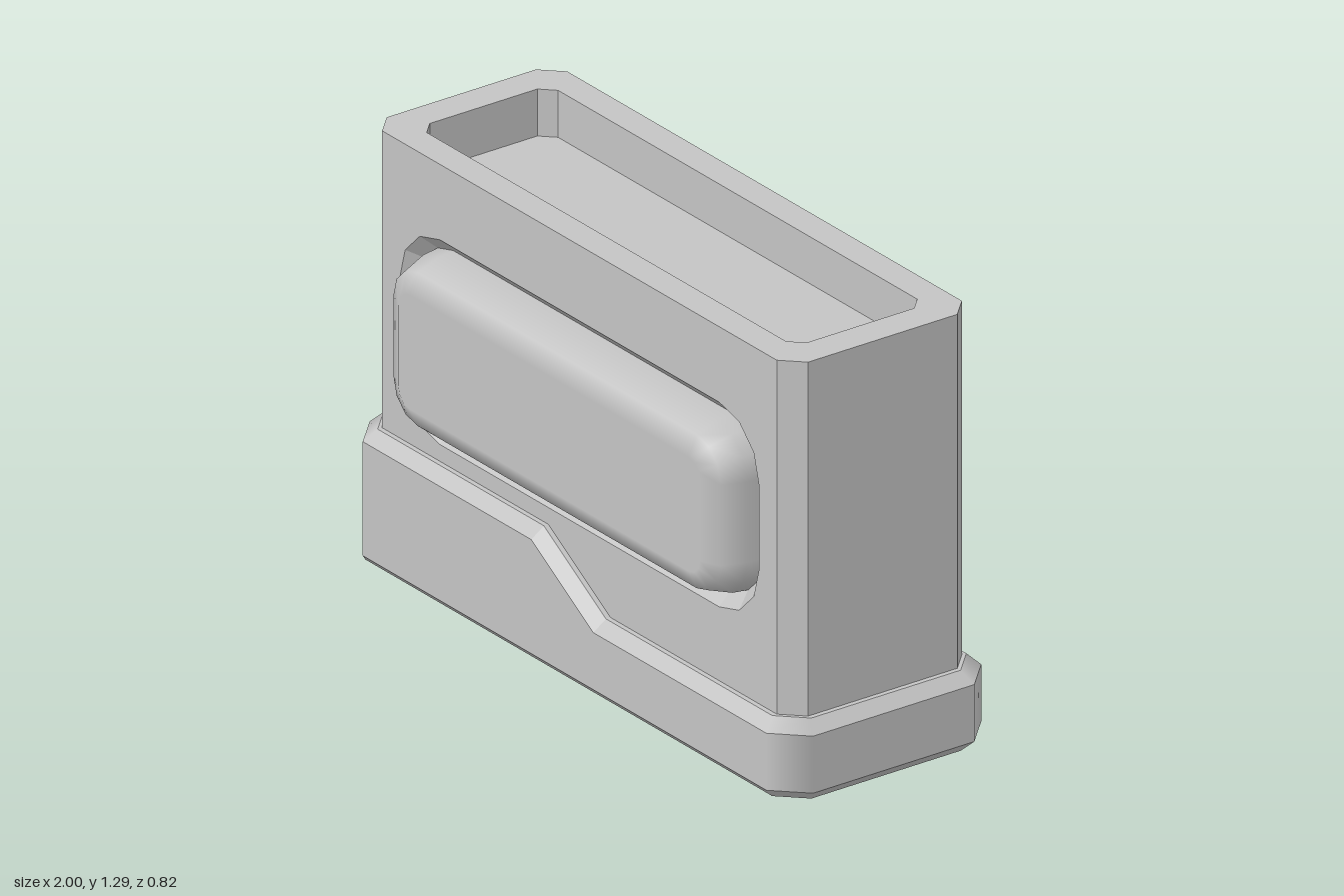
import * as THREE from 'three';

const V = (x, y, z) => new THREE.Vector3(x, y, z);

// Joins two rings of points; flat faces unless normals are given.
// flatRuns keeps segments flat where both ends share one direction.
function band(A, B, { closed = true, NA, NB, flatRuns = false } = {}) {
  const pos = [], nor = [], n = A.length;
  for (let i = 0; i < (closed ? n : n - 1); i++) {
    const j = (i + 1) % n;
    const quad = [[A, NA, i], [A, NA, j], [B, NB, j], [A, NA, i], [B, NB, j], [B, NB, i]];
    const side = A[j].clone().sub(A[i]).add(B[j]).sub(B[i]);
    const up = B[i].clone().sub(A[i]).add(B[j]).sub(A[j]);
    const face = side.cross(up).normalize();
    const smooth = NA && !(flatRuns && NA[i].distanceTo(NA[j]) < 1e-4);
    for (const [ring, normals, k] of quad) {
      pos.push(...ring[k].toArray());
      nor.push(...(smooth ? normals[k] : face).toArray());
    }
  }
  const g = new THREE.BufferGeometry();
  g.setAttribute('position', new THREE.Float32BufferAttribute(pos, 3));
  g.setAttribute('normal', new THREE.Float32BufferAttribute(nor, 3));
  return g;
}

// Octagon seen from above, counterclockwise from the front left end
function octagon(x, z, c, y) {
  return [[-x + c, z], [x - c, z], [x, z - c], [x, -z + c],
    [x - c, -z], [-x + c, -z], [-x, -z + c], [-x, z - c]].map(([a, b]) => V(a, y, b));
}

// Rounded rectangle in the front plane, with outward directions
const MID = 0.765;
function roundRect(hx, hy, r, z, tilt = 0) {
  const points = [], normals = [];
  [[1, 1], [-1, 1], [-1, -1], [1, -1]].forEach(([sx, sy], q) => {
    for (let k = 0; k <= 3; k++) {
      const a = (q + k / 3) * Math.PI / 2, c = Math.cos(a), s = Math.sin(a);
      points.push(V(sx * (hx - r) + r * c, MID + sy * (hy - r) + r * s, z));
      normals.push(V(c * Math.cos(tilt), s * Math.cos(tilt), Math.sin(tilt)));
    }
  });
  return { points, normals };
}

const flat = (pts, fn) => pts.map(p => new THREE.Vector2(...fn(p)));

export function createModel() {
  const model = new THREE.Group();
  const grey = new THREE.MeshStandardMaterial({ color: 0xc4c4c4 });
  const add = (parent, name, geometry) => {
    const mesh = new THREE.Mesh(geometry, grey);
    mesh.name = name;
    parent.add(mesh);
    return mesh;
  };

  // Stepped base: bevelled octagon with a ramp in its upper edge
  const base = new THREE.Group();
  base.name = 'steppedBase';
  model.add(base);
  const HIGH = 0.375, LOW = 0.205, BEVEL = 0.035;
  const baseRing = (x, z, c, step, yAt) => {
    const o = octagon(x, z, c, 0);
    const ring = [o[0], V(-0.15 + step, 0, z), V(0.13 + step, 0, z), o[1], o[2], o[3],
      o[4], V(0.13 + step, 0, -z), V(-0.15 + step, 0, -z), o[5], o[6], o[7]];
    ring.forEach((p, i) => { p.y = yAt(i); });
    return ring;
  };
  const isHigh = i => i < 2 || i > 7;
  const topY = i => (isHigh(i) ? HIGH : LOW);
  const rimY = i => topY(i) + BEVEL;
  const lower = baseRing(1, 0.36, 0.09, 0, i => (i > 9 ? 0 : BEVEL));
  const upper = baseRing(1, 0.36, 0.09, 0, topY);
  const rim = baseRing(0.965, 0.325, 0.075, 0.01, rimY);
  const inner = baseRing(0.94, 0.3, 0.06, 0.01, rimY);
  const bottom = baseRing(0.965, 0.325, 0.075, 0, () => 0);
  // the tall end has no bevel underneath
  bottom[0].set(-0.945, 0, 0.325);
  bottom[9].set(-0.945, 0, -0.325);
  bottom[10].set(-1, 0, -0.27);
  bottom[11].set(-1, 0, 0.27);
  const baseNormals = ny => lower.map((p, i) => {
    const end = i === 4 || i === 5 || i > 9;
    return (end ? V(Math.sign(p.x), ny, 0) : V(0, ny, Math.sign(p.z))).normalize();
  });
  const baseBand = (name, A, B, ny) => {
    const N = baseNormals(ny);
    add(base, name, band(A, B, { NA: N, NB: N, flatRuns: true }));
  };
  baseBand('baseLowerBevel', bottom, lower, -1);
  baseBand('baseWall', lower, upper, 0);
  baseBand('baseUpperBevel', upper, rim, 1);
  add(base, 'baseLedge', band(rim, inner));
  const underside = new THREE.ShapeGeometry(new THREE.Shape(flat(bottom, p => [p.x, p.z])));
  add(base, 'baseUnderside', underside).rotation.x = Math.PI / 2;

  // Upright body: ends with chamfered corners
  const body = new THREE.Group();
  body.name = 'body';
  model.add(body);
  const X = 0.95, Z = 0.31, C = 0.06, TOP = 1.295, FLOOR = 0.1;
  const bodyTop = octagon(X, Z, C, TOP), bodyLow = octagon(X, Z, C, FLOOR);
  add(body, 'leftEnd', band(bodyLow.slice(1, 5), bodyTop.slice(1, 5), { closed: false }));
  const wrap = o => [o[5], o[6], o[7], o[0]];
  add(body, 'rightEnd', band(wrap(bodyLow), wrap(bodyTop), { closed: false }));

  // Open tray in the top
  const trayTop = octagon(0.85, 0.22, 0.04, TOP);
  const trayLow = octagon(0.85, 0.22, 0.04, TOP - 0.14);
  const rimShape = new THREE.Shape(flat(bodyTop, p => [p.x, -p.z]));
  rimShape.holes.push(new THREE.Path(flat(trayTop, p => [p.x, -p.z])));
  const topRim = add(body, 'topRim', new THREE.ShapeGeometry(rimShape));
  topRim.rotation.x = -Math.PI / 2;
  topRim.position.y = TOP;
  add(body, 'trayWalls', band(trayTop, trayLow));
  const trayShape = new THREE.Shape(flat(trayLow, p => [p.x, -p.z]));
  const trayFloor = add(body, 'trayFloor', new THREE.ShapeGeometry(trayShape));
  trayFloor.rotation.x = -Math.PI / 2;
  trayFloor.position.y = TOP - 0.14;

  // Broad faces: panel, sloped groove and rounded pad, same front and back
  for (const [name, turn] of [['frontFace', 0], ['backFace', Math.PI]]) {
    const side = new THREE.Group();
    side.name = name;
    side.rotation.y = turn;
    model.add(side);

    const outer = roundRect(0.81, 0.305, 0.18, Z).points;
    const seat = roundRect(0.77, 0.26, 0.14, Z - 0.045).points;
    const panelShape = new THREE.Shape(
      [[-X + C, FLOOR], [X - C, FLOOR], [X - C, TOP], [-X + C, TOP]].map(p => new THREE.Vector2(...p)));
    panelShape.holes.push(new THREE.Path(flat(outer, p => [p.x, p.y])));
    add(side, 'panel', new THREE.ShapeGeometry(panelShape)).position.z = Z;
    add(side, 'groove', band(outer, seat));

    // pad profile: inset, depth, tilt of the normal
    const rings = [[0, 0.262, 0], [0.006, 0.315, 0.12], [0.032, 0.385, 0.65], [0.09, 0.412, Math.PI / 2]]
      .map(([inset, z, tilt]) => roundRect(0.77 - inset, 0.26 - inset, 0.14 - inset, z, tilt));
    for (let i = 0; i < 3; i++) {
      const a = rings[i], b = rings[i + 1];
      add(side, 'padEdge', band(a.points, b.points, { NA: a.normals, NB: b.normals }));
    }
    const padShape = new THREE.Shape(flat(rings[3].points, p => [p.x, p.y]));
    add(side, 'padFace', new THREE.ShapeGeometry(padShape)).position.z = 0.412;
  }
  return model;
}
